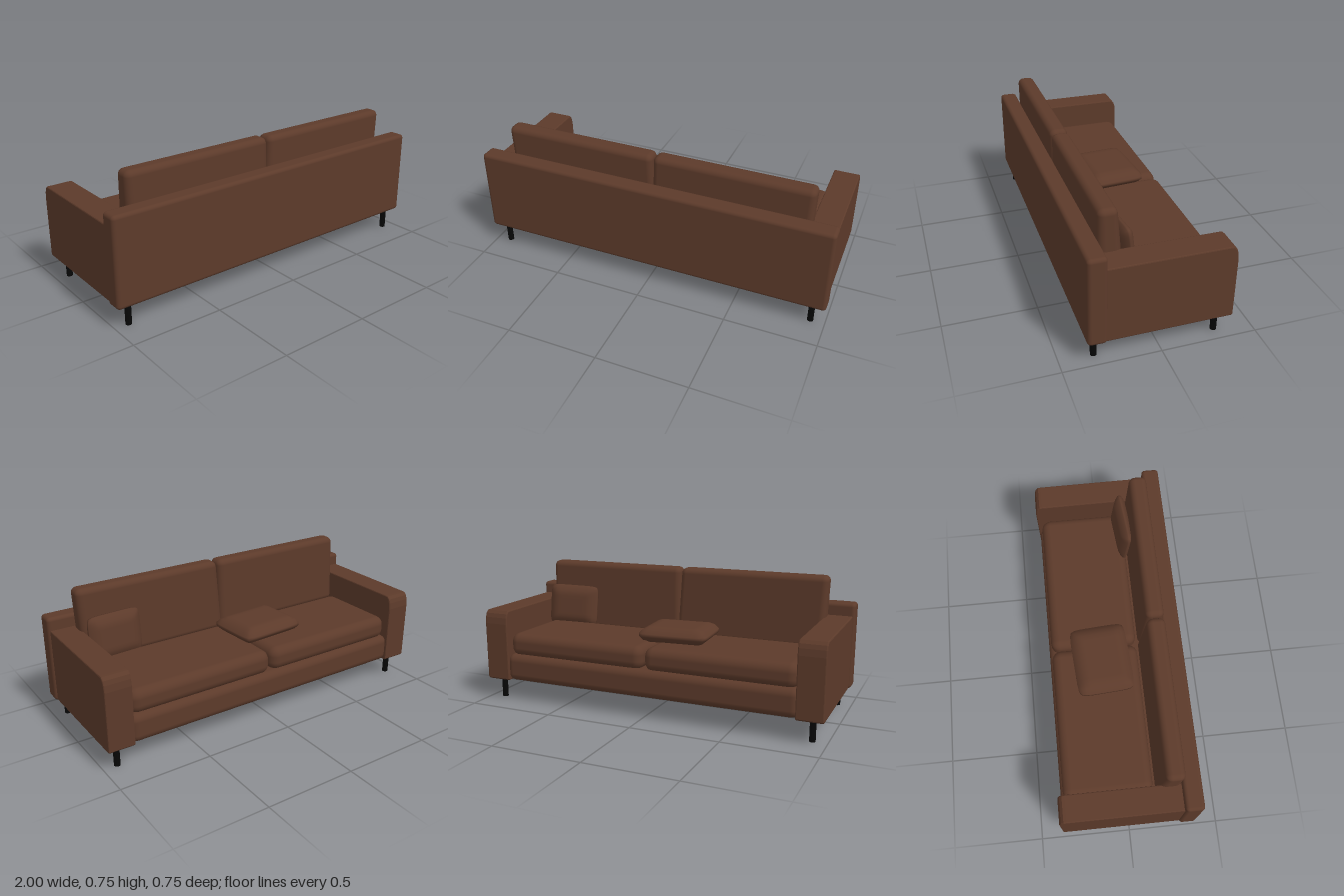
import * as THREE from 'three';
import { mergeVertices } from 'three/addons/utils/BufferGeometryUtils.js';
import { RoundedBoxGeometry } from 'three/addons/geometries/RoundedBoxGeometry.js';

const leather = new THREE.MeshStandardMaterial({ color: 0x5c3a2a });
leather.name = 'brown leather';
const black = new THREE.MeshStandardMaterial({ color: 0x060606 });
black.name = 'black metal';

// Soft-edged block given by its lower and upper corners
function block(name, [x0, y0, z0], [x1, y1, z1], radius) {
  const geo = new RoundedBoxGeometry(x1 - x0, y1 - y0, z1 - z0, 3, radius);
  geo.translate((x0 + x1) / 2, (y0 + y1) / 2, (z0 + z1) / 2);
  const mesh = new THREE.Mesh(geo, leather);
  mesh.name = name;
  return mesh;
}

// Arm: side profile with a softened front top edge, extruded across its width
function armGeometry(width) {
  const bevel = 0.006;
  const profile = [
    [0.283, 0.125], [-0.36, 0.125], [-0.365, 0.13], [-0.366, 0.45],
    [-0.362, 0.485], [-0.355, 0.506], [-0.343, 0.519], [-0.33, 0.52], [0.283, 0.524],
  ];
  const shape = new THREE.Shape(profile.map(([z, y]) => new THREE.Vector2(z, y)));
  const depth = width - 2 * bevel;
  const geo = new THREE.ExtrudeGeometry(shape, {
    depth, bevelThickness: bevel, bevelSize: bevel, bevelSegments: 2,
  });
  geo.translate(0, 0, -depth / 2);
  geo.rotateY(-Math.PI / 2);
  return geo;
}

// Pillow: a padded square that thins towards its seam, with rounded corners
function pillow(name, w, h, t) {
  const geo = new THREE.BoxGeometry(w, h, t, 14, 14, 2);
  const p = geo.attributes.position;
  for (let i = 0; i < p.count; i++) {
    const u = (2 * p.getX(i)) / w, v = (2 * p.getY(i)) / h;
    const edge = Math.min((1 - Math.abs(u)) * w, (1 - Math.abs(v)) * h) / 2;
    const puff = 0.2 + 0.8 * Math.sin(Math.min(1, edge / 0.06) * Math.PI / 2);
    const corner = 1 - 0.07 * Math.pow(Math.abs(u * v), 6);
    p.setXYZ(i, p.getX(i) * corner, p.getY(i) * corner, p.getZ(i) * puff);
  }
  geo.deleteAttribute('uv');
  geo.deleteAttribute('normal');
  const smooth = mergeVertices(geo, 1e-5);
  smooth.computeVertexNormals();
  const mesh = new THREE.Mesh(smooth, leather);
  mesh.name = name;
  return mesh;
}

export function createModel() {
  const sofa = new THREE.Group();
  sofa.name = 'sofa';

  // Frame
  sofa.add(block('backPanel', [-1, 0.115, 0.275], [1, 0.6, 0.373], 0.02));
  sofa.add(block('seatBase', [-0.86, 0.118, -0.365], [0.86, 0.275, 0.29], 0.042));

  const armGeo = armGeometry(0.144);
  const legGeo = new THREE.CylinderGeometry(0.0165, 0.0165, 0.13, 16);

  for (const side of [-1, 1]) {
    const label = side < 0 ? 'right' : 'left';

    const arm = new THREE.Mesh(armGeo, leather);
    arm.name = label + 'Arm';
    arm.position.x = side * 0.916;
    sofa.add(arm);

    // Seat cushion
    const x0 = side < 0 ? -0.845 : 0.004, x1 = side < 0 ? -0.004 : 0.845;
    sofa.add(block(label + 'SeatCushion', [x0, 0.262, -0.347], [x1, 0.395, 0.14], 0.05));

    // Back cushion, thicker towards the seat and slightly wider at the top
    const b0 = side < 0 ? -0.865 : 0.004, b1 = side < 0 ? -0.004 : 0.865;
    const back = block(label + 'BackCushion', [b0, 0.355, 0.183], [b1, 0.755, 0.28], 0.032);
    const p = back.geometry.attributes.position;
    for (let i = 0; i < p.count; i++) {
      const front = (0.28 - p.getZ(i)) / 0.097;
      const low = (0.755 - p.getY(i)) / 0.4;
      p.setZ(i, p.getZ(i) - 0.038 * front * low);
      p.setX(i, p.getX(i) - side * 0.014 * low);
    }
    sofa.add(back);

    // Legs
    for (const z of [-0.305, 0.325]) {
      const leg = new THREE.Mesh(legGeo, black);
      leg.name = label + (z < 0 ? 'SeatSideLeg' : 'BackSideLeg');
      leg.position.set(side * 0.922, 0.065, z);
      sofa.add(leg);
    }
  }

  // Pillow lying on the seat
  const flat = pillow('lyingPillow', 0.39, 0.315, 0.09);
  flat.rotation.set(-Math.PI / 2, 0, 0.07);
  flat.position.set(-0.102, 0.434, -0.068);
  sofa.add(flat);

  // Pillow leaning in the corner
  const leaning = pillow('leaningPillow', 0.31, 0.245, 0.072);
  leaning.rotation.order = 'YXZ';
  leaning.rotation.set(0.12, 0.1, 0.02);
  leaning.position.set(0.69, 0.493, 0.126);
  sofa.add(leaning);

  return sofa;
}
